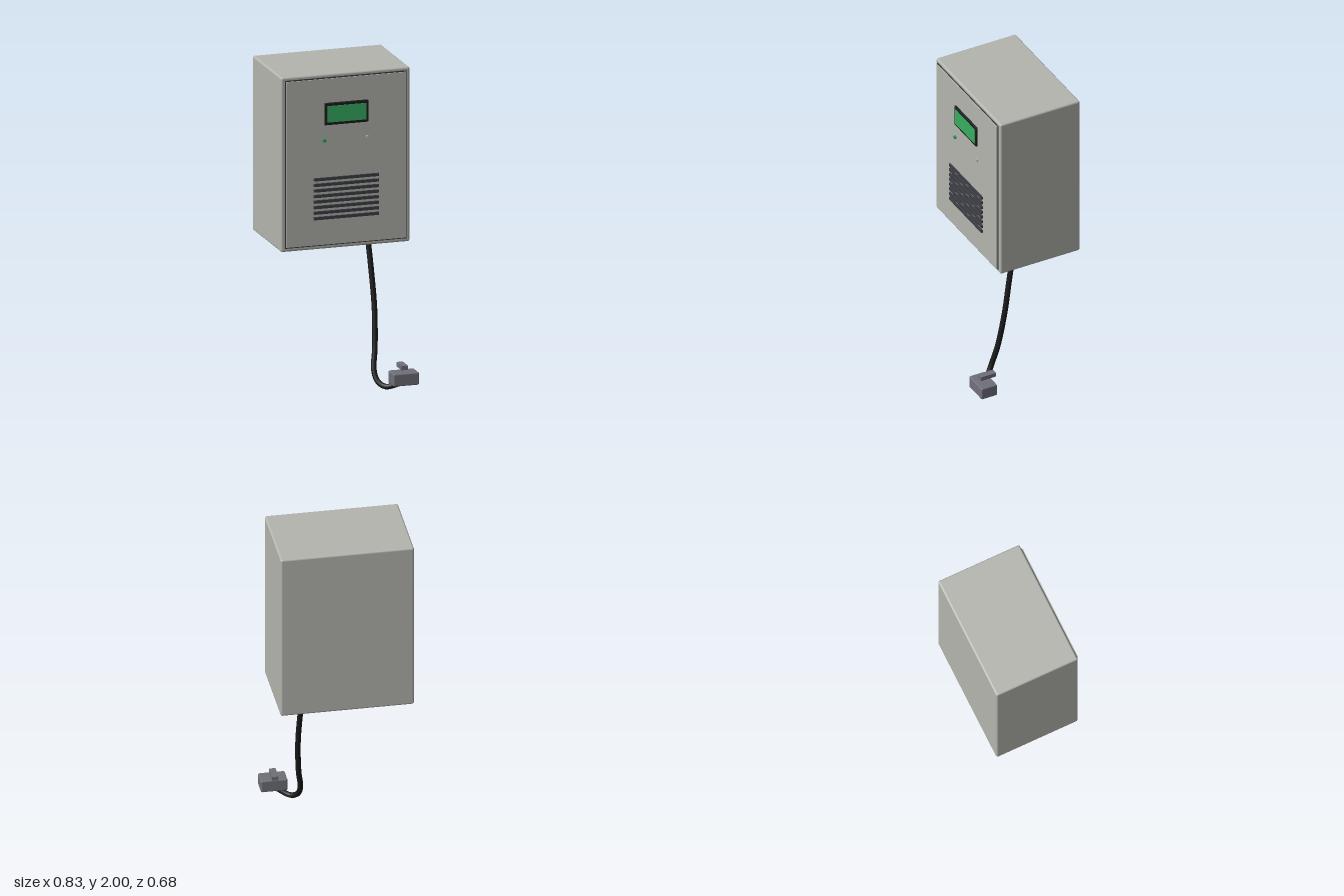
import * as THREE from 'three';
import { RoundedBoxGeometry } from 'three/addons/geometries/RoundedBoxGeometry.js';

const material = (name, color) => {
  const m = new THREE.MeshStandardMaterial({ color });
  m.name = name;
  return m;
};

export function createModel() {
  const group = new THREE.Group();
  const paint = material('warm grey paint', 0xb4b5ad);
  const black = material('black rubber', 0x1a1a1a);
  const slate = material('vent slate', 0x3b3e44);
  const green = material('screen green', 0x36ad60);
  const ledGreen = material('lamp green', 0x1fa550);
  const clear = material('clear lamp', 0xb8b8b8);
  const plastic = material('plug grey', 0x70707a);

  const add = (name, geometry, mat) => {
    const mesh = new THREE.Mesh(geometry, mat);
    mesh.name = name;
    group.add(mesh);
    return mesh;
  };
  // box given by its limits on each axis, with optional rounded edges
  const box = (name, mat, [x0, x1], [y0, y1], [z0, z1], r = 0) => {
    const size = [x1 - x0, y1 - y0, z1 - z0];
    const geometry = r ? new RoundedBoxGeometry(...size, 3, r) : new THREE.BoxGeometry(...size);
    add(name, geometry, mat).position.set((x0 + x1) / 2, (y0 + y1) / 2, (z0 + z1) / 2);
  };

  // cabinet and door
  box('cabinet', paint, [-0.417, 0.402], [0.908, 2], [-0.343, 0.203], 0.012);
  box('doorSeal', slate, [-0.393, 0.379], [0.93, 1.98], [0.198, 0.207]);
  box('door', paint, [-0.387, 0.373], [0.937, 1.973], [0.2, 0.214]);

  // display
  box('screenBezel', black, [-0.145, 0.132], [1.685, 1.823], [0.21, 0.225], 0.005);
  box('screen', green, [-0.128, 0.117], [1.702, 1.805], [0.219, 0.228]);

  // indicator lamps
  for (const [name, x, mat] of [['greenLamp', -0.146, ledGreen], ['clearLamp', 0.129, clear]]) {
    const lamp = add(name, new THREE.CylinderGeometry(0.011, 0.011, 0.014, 20), mat);
    lamp.rotation.x = Math.PI / 2;
    lamp.position.set(x, 1.589, 0.218);
  }

  // ventilation slots
  for (let i = 0; i < 8; i++) {
    const y = 1.106 + i * 0.0347;
    box('ventSlot', slate, [-0.213, 0.199], [y - 0.009, y + 0.009], [0.21, 0.225]);
  }

  // hanging cable
  const path = new THREE.CatmullRomCurve3([
    [0.198, 0.93, 0], [0.211, 0.7, 0.04], [0.219, 0.47, 0.077], [0.208, 0.24, 0.118],
    [0.191, 0.11, 0.15], [0.203, 0.045, 0.182], [0.24, 0.018, 0.22], [0.29, 0.033, 0.255], [0.335, 0.06, 0.28],
  ].map((p) => new THREE.Vector3(...p)));
  add('cable', new THREE.TubeGeometry(path, 64, 0.017, 14), black);

  // plug with its latch tab
  box('plug', plastic, [0.254, 0.417], [0.044, 0.122], [0.233, 0.34], 0.008);
  box('plugLatch', plastic, [0.314, 0.355], [0.136, 0.162], [0.208, 0.312]);

  return group;
}
